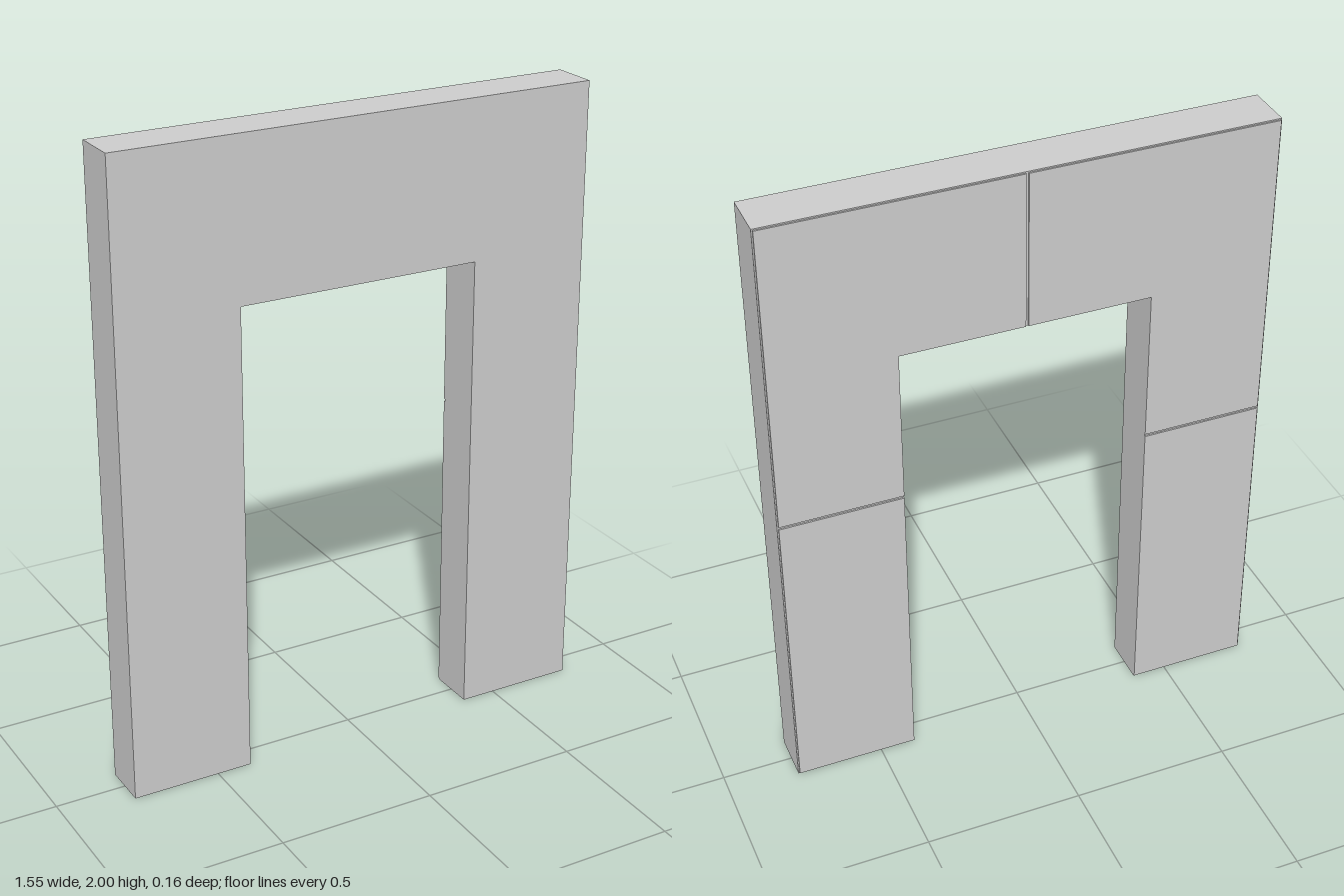
import * as THREE from 'three';

const W = 0.777, H = 2, IN = 0.389, LINTEL = 1.5; // outer half width, height, opening
const Z = 0.078, T = 0.005, GAP = 0.004; // half depth, panel thickness, half seam

function plate(name, points, z0, z1, material) {
  const shape = new THREE.Shape(points.map(([x, y]) => new THREE.Vector2(x, y)));
  const geometry = new THREE.ExtrudeGeometry(shape, { depth: z1 - z0, bevelEnabled: false });
  geometry.translate(0, 0, z0);
  const mesh = new THREE.Mesh(geometry, material);
  mesh.name = name;
  return mesh;
}

export function createModel() {
  const group = new THREE.Group();
  group.name = 'doorSurround';
  const material = new THREE.MeshStandardMaterial({ color: 0xcccccc });

  // Main frame: two legs and a lintel in one piece
  group.add(plate('frame', [
    [-W, 0], [-IN, 0], [-IN, LINTEL], [IN, LINTEL], [IN, 0], [W, 0], [W, H], [-W, H],
  ], -Z + T, Z, material));

  // Thin back panels, parted by narrow seams
  for (const [side, s] of [['left', 1], ['right', -1]]) {
    const lower = [[IN, GAP], [W - GAP, GAP], [W - GAP, 1 - GAP], [IN, 1 - GAP]];
    const upper = [
      [IN, 1 + GAP], [W - GAP, 1 + GAP], [W - GAP, H - GAP],
      [GAP, H - GAP], [GAP, LINTEL], [IN, LINTEL],
    ];
    const mirror = (points) => points.map(([x, y]) => [s * x, y]);
    group.add(plate(side + 'LowerBackPanel', mirror(lower), -Z, -Z + T, material));
    group.add(plate(side + 'UpperBackPanel', mirror(upper), -Z, -Z + T, material));
  }
  return group;
}
